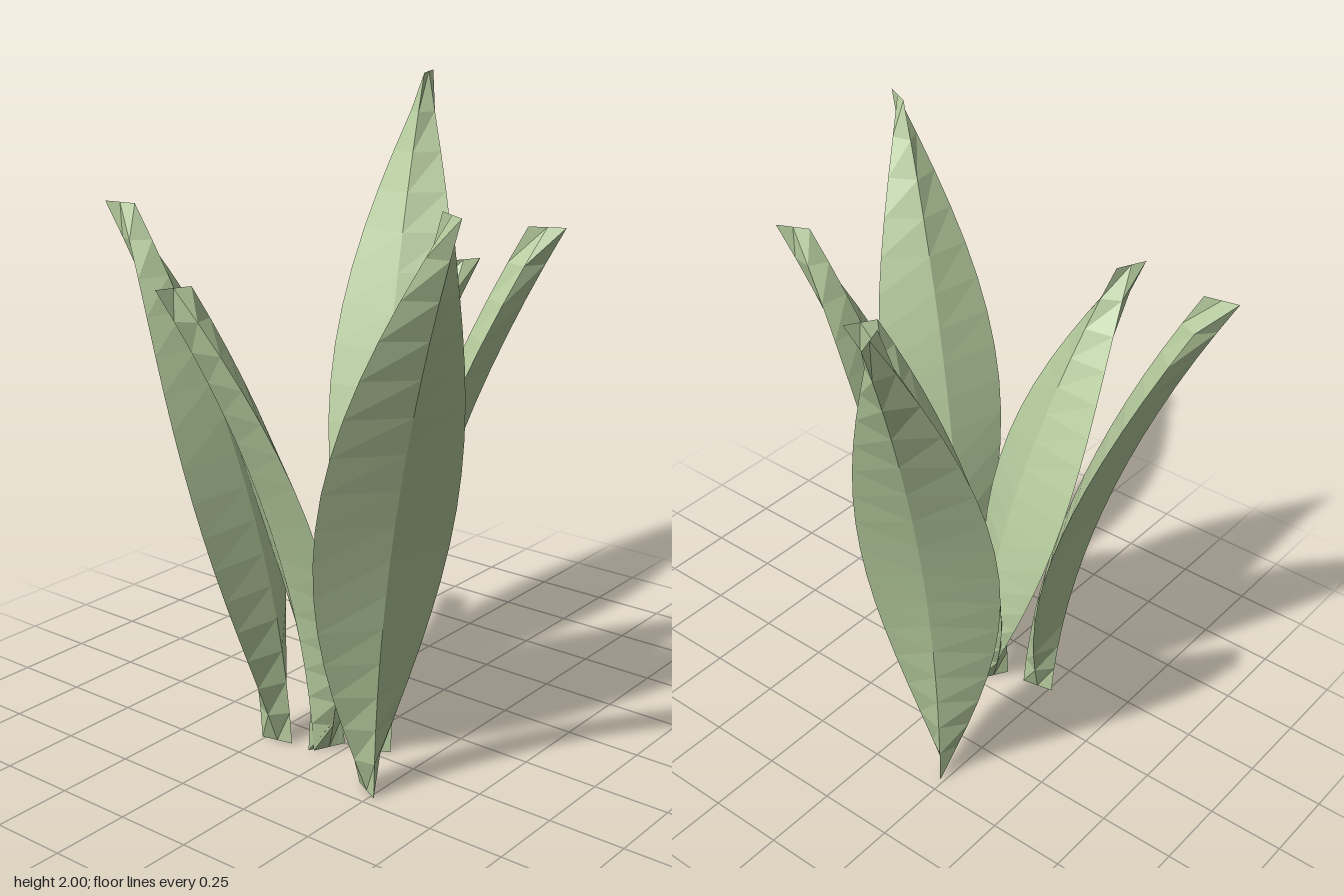
import * as THREE from 'three';

const SEGMENTS = 16;
const HALF_DEPTH = 0.054; // from the side edges to the front or back ridge
const HALF_WIDTH = 0.215;

// Four-sided blade with a ridge front and back; its width pinches to nothing at both ends.
// It grows up y and leans towards +z, with the inner ridge's foot at the origin.
function bladeGeometry(height) {
  const geo = new THREE.CylinderGeometry(1, 1, 1, 4, SEGMENTS, true);
  const pos = geo.attributes.position;
  const reach = 0.3 * height;
  for (let i = 0; i < pos.count; i++) {
    const t = pos.getY(i) + 0.5;
    const width = HALF_WIDTH * Math.sin(Math.PI * t);
    const lean = reach * (0.14 * t + 0.86 * t * t);
    pos.setXYZ(i, pos.getX(i) * width, t * height, lean + HALF_DEPTH * (1 + pos.getZ(i)));
  }
  const flat = geo.toNonIndexed();
  flat.computeVertexNormals();
  return flat;
}

export function createModel() {
  const leafGreen = new THREE.MeshStandardMaterial({ color: 0xb6cc9e, flatShading: true });
  leafGreen.name = 'leafGreen';

  // Ridge foot x, z; lean direction x, z; height
  const leaves = [
    ['backLeaf', -0.2, -0.105, -0.35, -0.94, 2.0],
    ['frontLeftLeaf', 0.17, 0.415, 0.88, 0.47, 1.845],
    ['leftLeaf', 0.03, 0.255, 0.9, -0.43, 1.69],
    ['rightLeaf', -0.155, 0.355, -0.98, 0.2, 1.69],
    ['innerLeaf', -0.085, 0.356, 0.51, -0.86, 1.535],
    ['frontLeaf', -0.025, 0.25, -0.41, 0.91, 1.535],
  ];

  const plant = new THREE.Group();
  plant.name = 'leafCluster';
  for (const [name, x, z, dx, dz, height] of leaves) {
    const leaf = new THREE.Mesh(bladeGeometry(height), leafGreen);
    leaf.name = name;
    leaf.position.set(x, 0, z);
    leaf.rotation.y = Math.atan2(dx, dz);
    plant.add(leaf);
  }
  return plant;
}
